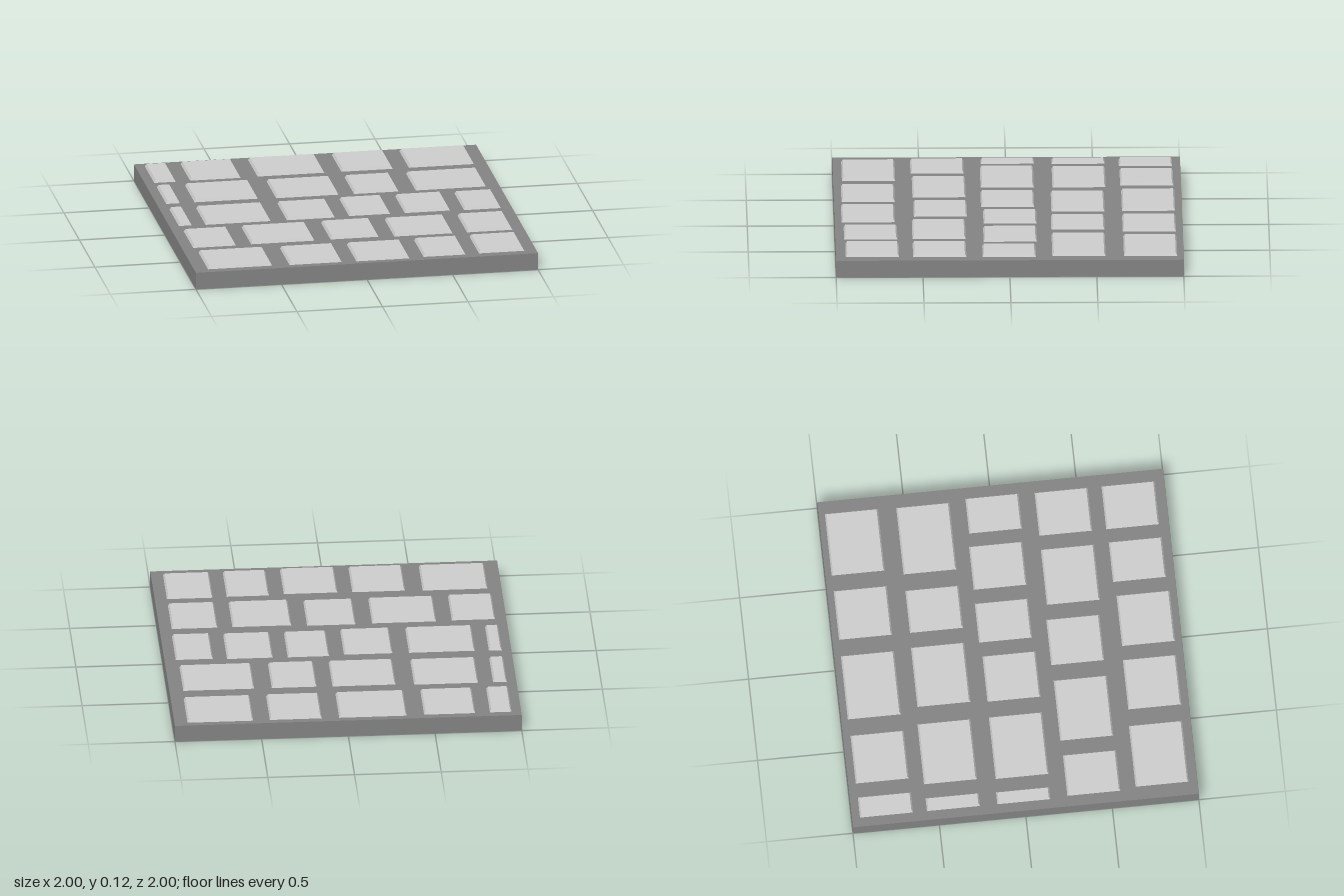
import * as THREE from 'three';

const BASE_H = 0.1;    // slab thickness
const STONE_TOP = 0.117;
const STONE_DEPTH = 0.307;
const BEVEL = 0.009;

// Rows from back to front; each stone is [left x, right x, centre z]
const ROWS = [
  [[-0.945, -0.82, -0.8], [-0.735, -0.44, -0.803], [-0.34, 0.05, -0.808], [0.15, 0.45, -0.808], [0.545, 0.925, -0.81]],
  [[-0.945, -0.865, -0.413], [-0.78, -0.41, -0.413], [-0.305, 0.06, -0.402], [0.15, 0.41, -0.398], [0.51, 0.92, -0.398]],
  [[-0.945, -0.87, -0.006], [-0.79, -0.41, 0], [-0.315, -0.035, 0.002], [0.05, 0.29, -0.009], [0.375, 0.64, -0.006], [0.72, 0.935, 0.003]],
  [[-0.935, -0.685, 0.4], [-0.595, -0.225, 0.394], [-0.13, 0.15, 0.39], [0.24, 0.58, 0.403], [0.665, 0.93, 0.403]],
  [[-0.92, -0.545, 0.796], [-0.445, -0.14, 0.803], [-0.055, 0.255, 0.807], [0.34, 0.585, 0.796], [0.665, 0.93, 0.79]],
];

// Box whose top face is drawn in on all four sides
function stoneGeometry(w, h, d) {
  const geo = new THREE.BoxGeometry(w, h, d);
  const p = geo.attributes.position;
  for (let i = 0; i < p.count; i++) {
    if (p.getY(i) < 0) continue;
    p.setX(i, p.getX(i) - Math.sign(p.getX(i)) * BEVEL);
    p.setZ(i, p.getZ(i) - Math.sign(p.getZ(i)) * BEVEL);
  }
  geo.computeVertexNormals();
  return geo;
}

export function createModel() {
  const model = new THREE.Group();
  model.name = 'cobblestoneTile';
  const mortar = new THREE.MeshStandardMaterial({ color: 0x828282, flatShading: true });
  const stone = new THREE.MeshStandardMaterial({ color: 0xcccccc, flatShading: true });

  // Mortar slab
  const slab = new THREE.Mesh(new THREE.BoxGeometry(2, BASE_H, 2), mortar);
  slab.name = 'mortarSlab';
  slab.position.y = BASE_H / 2;
  model.add(slab);

  // Paving stones, seated on the slab
  const h = STONE_TOP - BASE_H;
  ROWS.forEach((row, r) => {
    const group = new THREE.Group();
    group.name = `stoneRow${r + 1}`;
    row.forEach(([x0, x1, z], i) => {
      const mesh = new THREE.Mesh(stoneGeometry(x1 - x0, h, STONE_DEPTH), stone);
      mesh.name = `stone${i + 1}`;
      mesh.position.set((x0 + x1) / 2, BASE_H + h / 2, z);
      group.add(mesh);
    });
    model.add(group);
  });
  return model;
}
